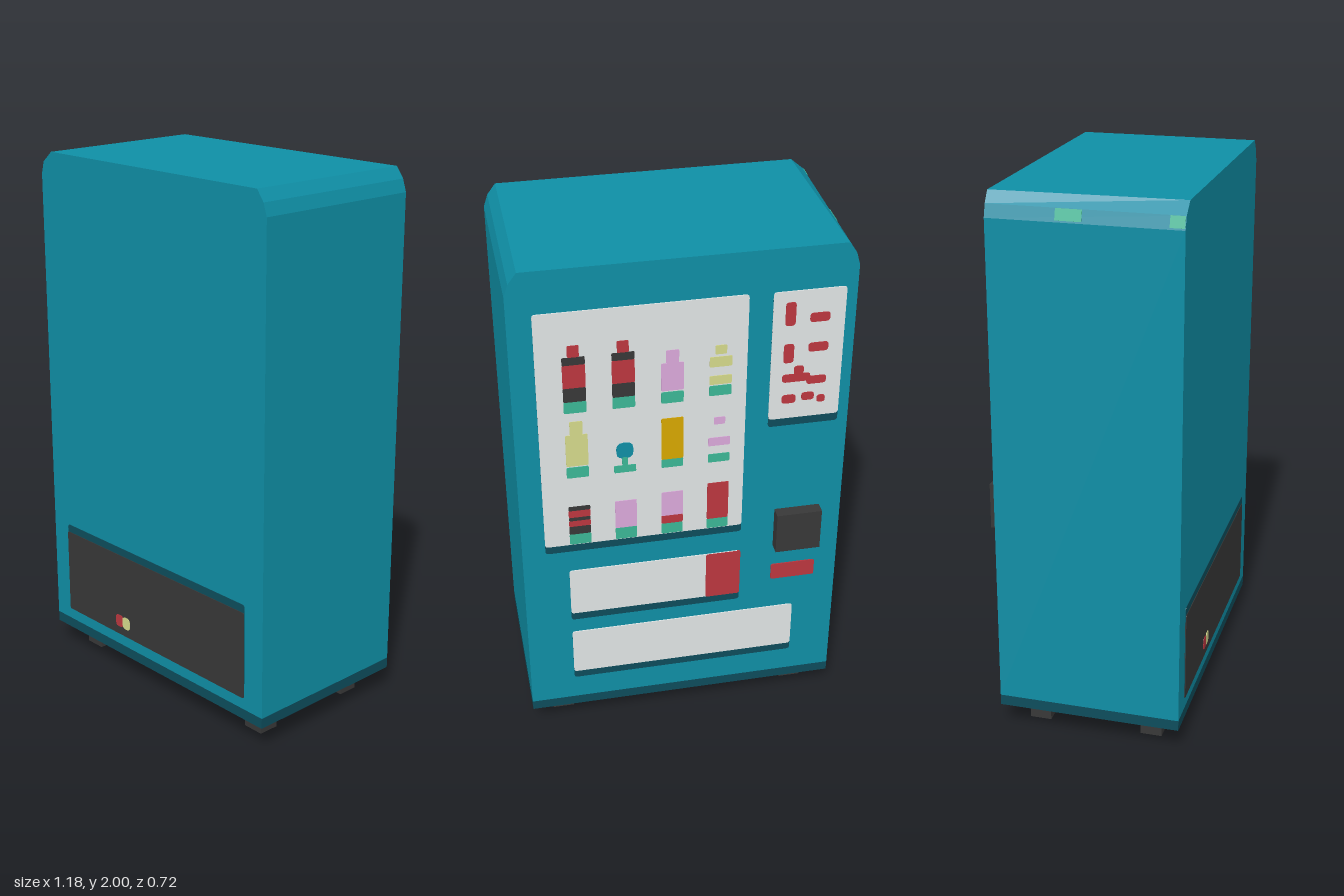
import * as THREE from 'three';

const mat = (name, color) => {
  const m = new THREE.MeshStandardMaterial({ color });
  m.name = name;
  return m;
};

export function createModel() {
  const M = {
    teal: mat('teal', 0x0f8fa6), dark: mat('darkTeal', 0x0d4d5c),
    panel: mat('paleGrey', 0xe2e6e6), black: mat('charcoal', 0x383838),
    red: mat('red', 0xbc373f), cream: mat('cream', 0xd6da8c),
    pink: mat('pink', 0xdcaadc), green: mat('green', 0x3cb896), gold: mat('gold', 0xd8a800),
  };
  const group = new THREE.Group();
  const FRONT = 0.357, BACK = -0.315, DEPTH = FRONT - BACK, MID = (FRONT + BACK) / 2;

  const add = (name, geo, material, x = 0, y = 0, z = 0, parent = group) => {
    const mesh = new THREE.Mesh(geo, material);
    mesh.name = name;
    mesh.position.set(x, y, z);
    parent.add(mesh);
    return mesh;
  };

  // thin rounded plate; level stacks plates outward from the cabinet face
  const plate = (name, m, x0, x1, y0, y1, { r = 0.008, level = 1, side = -1, parent = group } = {}) => {
    const s = new THREE.Shape();
    r = Math.min(r, (x1 - x0) / 2.01, (y1 - y0) / 2.01);
    s.moveTo(x0 + r, y0).lineTo(x1 - r, y0).quadraticCurveTo(x1, y0, x1, y0 + r)
      .lineTo(x1, y1 - r).quadraticCurveTo(x1, y1, x1 - r, y1)
      .lineTo(x0 + r, y1).quadraticCurveTo(x0, y1, x0, y1 - r)
      .lineTo(x0, y0 + r).quadraticCurveTo(x0, y0, x0 + r, y0);
    const d = 0.002 * level;
    const geo = new THREE.ExtrudeGeometry(s, { depth: d, bevelEnabled: false, curveSegments: 3 });
    return add(name, geo, m, 0, 0, side < 0 ? BACK - d : FRONT, parent);
  };

  // cabinet with clipped top corners
  const profile = new THREE.Shape([
    [-0.59, 0.13], [0.59, 0.13], [0.59, 1.915], [0.575, 1.96], [0.545, 2],
    [-0.55, 2], [-0.577, 1.96], [-0.59, 1.915],
  ].map(([x, y]) => new THREE.Vector2(x, y)));
  const cabinet = new THREE.ExtrudeGeometry(profile, { depth: DEPTH, bevelEnabled: false });
  const p = cabinet.attributes.position;
  for (let i = 0; i < p.count; i++) { // one top edge runs slightly askew
    if (p.getX(i) < -0.5 && p.getY(i) > 1.99 && p.getZ(i) > 0.1) p.setX(i, -0.53);
  }
  cabinet.computeVertexNormals();
  add('cabinet', cabinet, M.teal, 0, 0, BACK);
  add('baseBand', new THREE.BoxGeometry(1.18, 0.04, DEPTH),
    [M.dark, M.dark, M.dark, M.teal, M.dark, M.dark], 0, 0.11, MID);

  // green flecks on the clipped corner
  for (const [z, len] of [[-0.03, 0.09], [0.33, 0.05]]) {
    const fleck = add('cornerFleck', new THREE.BoxGeometry(0.004, 0.04, len), M.green, -0.583, 1.94, z);
    fleck.rotation.z = -0.28;
  }

  // feet
  for (const x of [-0.463, 0.463]) for (const z of [-0.19, 0.235])
    add('foot', new THREE.BoxGeometry(0.083, 0.09, 0.08), M.black, x, 0.045, z);

  // plain side: dark hatch with a two-tone capsule
  const f = { side: 1 };
  plate('hatchLip', M.dark, -0.505, 0.5, 0.175, 0.54, { ...f, r: 0.012 });
  plate('hatch', M.black, -0.505, 0.5, 0.175, 0.51, { ...f, level: 2 });
  plate('capsuleRed', M.red, -0.212, -0.17, 0.208, 0.257, { ...f, level: 3, r: 0.015 });
  plate('capsuleCream', M.cream, -0.172, -0.13, 0.208, 0.257, { ...f, level: 3, r: 0.015 });

  // display side: pale panels, each with a dark sill under it
  const sill = 0.032;
  for (const [name, x0, x1, y0, y1] of [
    ['displayWindow', -0.217, 0.506, 0.885, 1.843],
    ['keypadPanel', -0.552, -0.3, 1.335, 1.84],
    ['upperTray', -0.217, 0.423, 0.558, 0.762],
    ['lowerTray', -0.43, 0.423, 0.264, 0.465],
  ]) {
    plate(name + 'Sill', M.dark, x0, x1, y0 - sill, y1 - 0.01, { r: 0.012 });
    plate(name, M.panel, x0, x1, y0, y1, { level: 2, r: 0.012 });
  }
  plate('upperTrayEnd', M.red, -0.217, -0.087, 0.558, 0.762, { level: 3 });
  plate('coinSlot', M.red, -0.506, -0.338, 0.604, 0.674, { level: 2 });
  add('payBox', new THREE.BoxGeometry(0.168, 0.168, 0.045), M.black, -0.425, 0.85, BACK - 0.0225);

  // keypad marks: x, y, width, height
  for (const [x, y, w, h] of [
    [-0.361, 1.754, 0.036, 0.09], [-0.464, 1.733, 0.07, 0.035],
    [-0.361, 1.6, 0.036, 0.075], [-0.464, 1.617, 0.07, 0.035],
    [-0.392, 1.5, 0.1, 0.032], [-0.4, 1.53, 0.035, 0.035], [-0.464, 1.485, 0.07, 0.032],
    [-0.369, 1.415, 0.05, 0.035], [-0.437, 1.42, 0.045, 0.032], [-0.485, 1.405, 0.03, 0.03],
  ]) plate('keypadMark', M.red, x - w / 2, x + w / 2, y - h / 2, y + h / 2, { level: 3, r: 0.012 });

  // goods on display: bands of [colour, bottom, top, width]
  const columns = [0.377, 0.21, 0.042, -0.125];
  const W = 0.078, N = 0.04;
  const bottle = [['green', 0, 0.045, W], ['black', 0.045, 0.1, W], ['red', 0.1, 0.19, W],
    ['black', 0.19, 0.22, W], ['red', 0.22, 0.265, N]];
  const rows = [
    [1.452, [
      bottle, bottle,
      [['green', 0, 0.045, W], ['pink', 0.05, 0.16, W], ['pink', 0.16, 0.21, 0.045]],
      [['green', 0.01, 0.05, W], ['cream', 0.055, 0.09, W], ['cream', 0.125, 0.165, W], ['cream', 0.175, 0.21, N]],
    ]],
    [1.182, [
      [['green', 0, 0.045, W], ['cream', 0.05, 0.18, W], ['cream', 0.18, 0.235, 0.045]],
      [['green', 0, 0.03, W], ['green', 0.03, 0.065, 0.02], ['teal', 0.06, 0.125, 0.06]],
      [['green', 0, 0.035, W], ['gold', 0.035, 0.207, W]],
      [['green', 0, 0.035, W], ['pink', 0.07, 0.105, W], ['pink', 0.16, 0.19, N]],
    ]],
    [0.888, [
      [['green', 0, 0.045, W], ['black', 0.045, 0.08, W], ['red', 0.08, 0.105, W],
        ['black', 0.105, 0.12, W], ['red', 0.12, 0.15, W], ['black', 0.15, 0.168, W]],
      [['green', 0, 0.05, W], ['pink', 0.05, 0.17, W]],
      [['green', 0, 0.045, W], ['red', 0.045, 0.08, W], ['pink', 0.08, 0.185, W]],
      [['green', 0, 0.042, W], ['red', 0.042, 0.202, W]],
    ]],
  ];
  rows.forEach(([base, items]) => items.forEach((bands, c) => {
    const item = new THREE.Group();
    item.name = 'displayItem';
    for (const [color, y0, y1, w] of bands)
      plate(color + 'Band', M[color], columns[c] - w / 2, columns[c] + w / 2, base + y0, base + y1,
        { level: 3, r: color === 'teal' ? 0.025 : 0.005, parent: item });
    group.add(item);
  }));

  return group;
}
